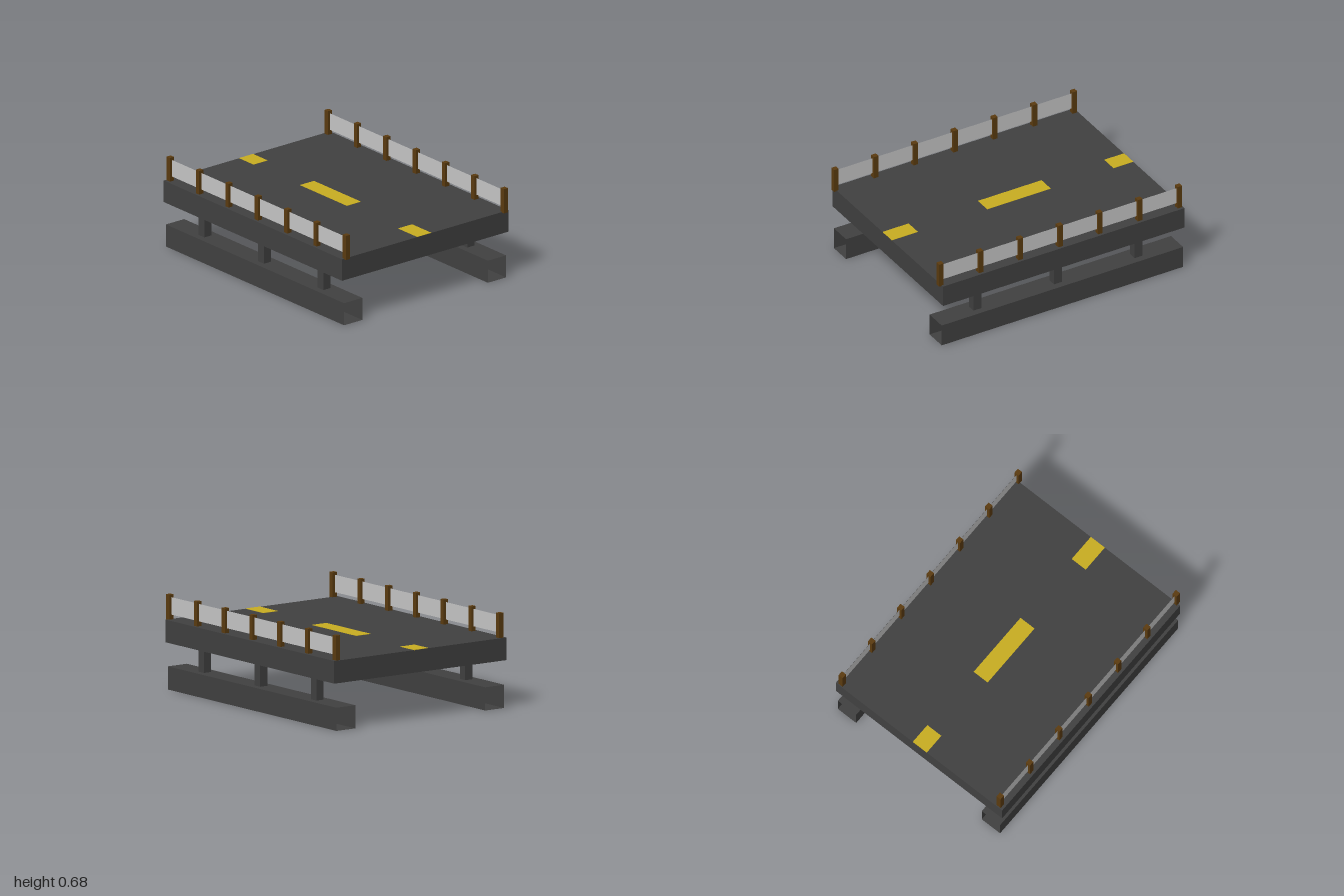
import * as THREE from 'three';

const mat = (name, color, side = THREE.FrontSide) => {
  const m = new THREE.MeshStandardMaterial({ color, side });
  m.name = name;
  return m;
};

export function createModel() {
  const asphalt = mat('asphalt grey', 0x414141, THREE.DoubleSide);
  const yellow = mat('line yellow', 0xc9ae22);
  const wood = mat('wood brown', 0x5c3c10);
  const mesh = mat('panel grey', 0xc8c8c8, THREE.DoubleSide);

  const model = new THREE.Group();
  model.name = 'bridgeSection';

  const add = (name, geometry, material, x, y, z) => {
    const m = new THREE.Mesh(geometry, material);
    m.name = name;
    m.position.set(x, y, z);
    model.add(m);
    return m;
  };
  // Box given by its lower and upper corners
  const box = (name, material, [x0, y0, z0], [x1, y1, z1]) =>
    add(name, new THREE.BoxGeometry(x1 - x0, y1 - y0, z1 - z0), material,
      (x0 + x1) / 2, (y0 + y1) / 2, (z0 + z1) / 2);

  // Road deck
  const back = -1, front = 0.98, deckTop = 0.502;
  box('deck', asphalt, [-0.755, 0.34, back], [0.755, deckTop, front]);

  // Dashed centre line
  for (const [z0, z1] of [[back, -0.838], [-0.323, 0.198], [0.767, front]])
    box('centreLine', yellow, [-0.071, deckTop - 0.002, z0], [0.056, deckTop + 0.002, z1]);

  // Hollow square beam: four thin walls, open at both ends
  const beamSize = 0.166, beamLength = front - back, beamZ = (front + back) / 2;
  const wall = new THREE.PlaneGeometry(beamSize, beamLength).rotateX(-Math.PI / 2)
    .translate(0, beamSize / 2, 0);

  for (const [side, sign] of [['left', 1], ['right', -1]]) {
    const beamX = sign * 0.653;
    for (let i = 0; i < 4; i++)
      add(side + 'BeamWall', wall, asphalt, beamX, beamSize / 2, beamZ).rotation.z = i * Math.PI / 2;

    // Supports rising from the middle of the beam to the deck
    for (const z of [0.657, -0.004, -0.665])
      box(side + 'Support', asphalt, [beamX - 0.032, 0.085, z - 0.032], [beamX + 0.032, 0.341, z + 0.032]);

    // Railing posts and the thin panel running through them
    const railX = sign * 0.717, firstZ = 0.982, step = 0.326, half = 0.0185;
    for (let i = 0; i < 7; i++) {
      const z = firstZ - i * step;
      box(side + 'RailPost', wood, [railX - half, 0.497, z - half], [railX + half, 0.68, z + half]);
    }
    const panel = new THREE.PlaneGeometry(6 * step, 0.125).rotateY(Math.PI / 2);
    add(side + 'RailPanel', panel, mesh, railX, 0.599, firstZ - 3 * step);
  }
  return model;
}
